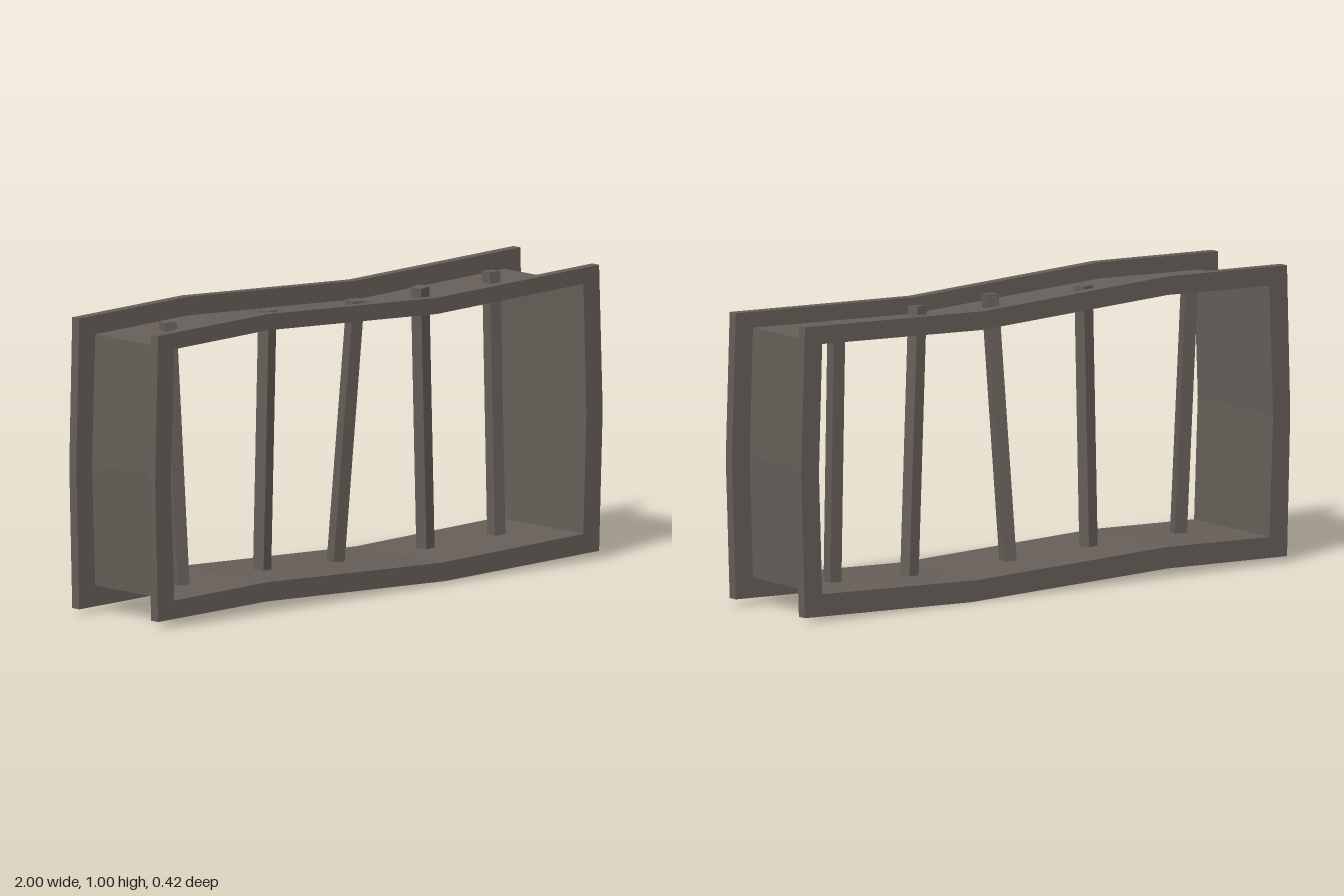
import * as THREE from 'three';

const V2 = (p) => new THREE.Vector2(p[0], p[1]);

// Wavy opening shared by the flanges and the casing, counter-clockwise
const OPENING = [
  [-0.915, 0.093], [-0.5, 0.104], [0.28, 0.075], [0.912, 0.095], [0.925, 0.5],
  [0.912, 0.93], [0.26, 0.908], [-0.5, 0.945], [-0.915, 0.932], [-0.93, 0.5],
];

// Outer edge of a flange; grow pushes the top and bottom edges outward
function outline(grow) {
  return [
    [-0.987, 0.03 - grow], [-0.5, 0.04 - grow], [0.3, 0.012 - grow], [0.982, 0.03 - grow], [0.998, 0.5],
    [0.982, 0.985 + grow], [0.25, 0.962 + grow], [-0.5, 0.999 + grow], [-0.987, 0.985 + grow], [-1, 0.5],
  ];
}

export function createModel() {
  const group = new THREE.Group();
  const wood = new THREE.MeshStandardMaterial({ color: 0x665f59 });
  wood.name = 'weatheredWood';
  const sheet = new THREE.MeshStandardMaterial({ color: 0x665f59, side: THREE.DoubleSide });
  sheet.name = 'weatheredWoodSheet';

  function add(name, geometry, material) {
    const mesh = new THREE.Mesh(geometry, material);
    mesh.name = name;
    group.add(mesh);
    return mesh;
  }

  // Front and back flanges
  function flange(name, grow, z) {
    const shape = new THREE.Shape(outline(grow).map(V2));
    shape.holes.push(new THREE.Path(OPENING.map(V2).reverse()));
    const geometry = new THREE.ExtrudeGeometry(shape, { depth: 0.034, bevelEnabled: false });
    geometry.translate(0, 0, z);
    add(name, geometry, wood);
  }
  flange('frontFlange', 0, 0.175);
  flange('backFlange', 0.008, -0.208);

  // Thin casing that lines the opening between the flanges
  const positions = [];
  OPENING.forEach(([x0, y0], i) => {
    const [x1, y1] = OPENING[(i + 1) % OPENING.length];
    const f = 0.175, b = -0.174;
    positions.push(x0, y0, f, x1, y1, f, x1, y1, b, x0, y0, f, x1, y1, b, x0, y0, b);
  });
  const casing = new THREE.BufferGeometry();
  casing.setAttribute('position', new THREE.Float32BufferAttribute(positions, 3));
  casing.computeVertexNormals();
  add('casing', casing, sheet);

  // Crooked bars poking through the casing: bottom x, y, z, top x, y, z, twist
  const bars = [
    [-0.71, 0.065, 0.02, -0.71, 0.965, -0.045, -0.25],
    [-0.325, 0.06, -0.007, -0.318, 0.965, 0.012, 0.2],
    [0.006, 0.045, -0.013, 0.022, 0.965, 0.07, -0.2],
    [0.418, 0.045, -0.02, 0.347, 0.965, 0.03, 0.15],
    [0.722, 0.06, -0.007, 0.732, 0.962, -0.043, -0.1],
  ];
  const up = new THREE.Vector3(0, 1, 0);
  for (const [x0, y0, z0, x1, y1, z1, twist] of bars) {
    const a = new THREE.Vector3(x0, y0, z0), b = new THREE.Vector3(x1, y1, z1);
    const geometry = new THREE.BoxGeometry(0.043, a.distanceTo(b), 0.043);
    geometry.rotateY(twist);
    const bar = add('bar', geometry, wood);
    bar.position.lerpVectors(a, b, 0.5);
    bar.quaternion.setFromUnitVectors(up, b.clone().sub(a).normalize());
  }
  return group;
}
